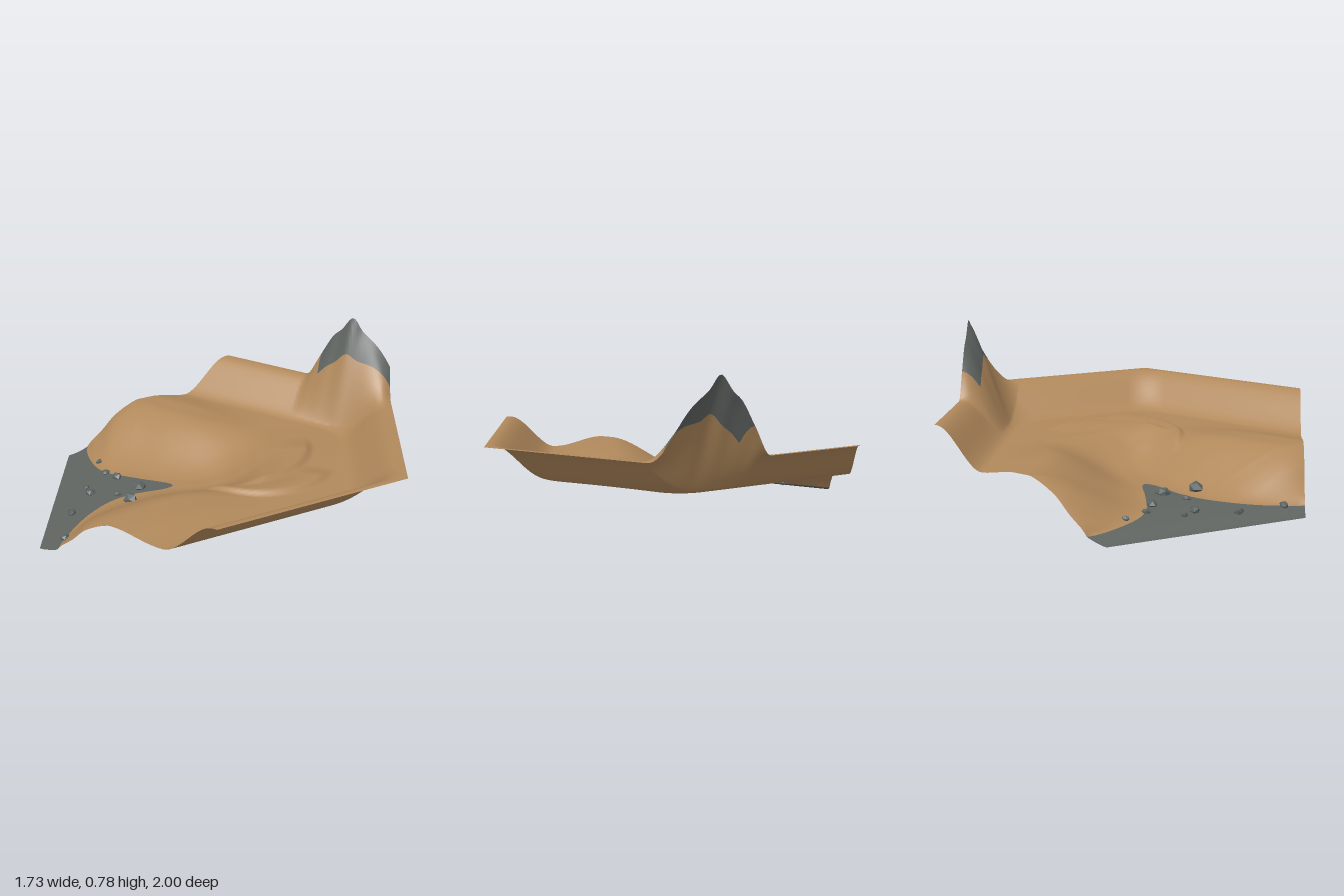
import * as THREE from 'three';

const material = (name, color, side = THREE.FrontSide) => {
  const m = new THREE.MeshStandardMaterial({ color, side });
  m.name = name;
  return m;
};

const smooth = THREE.MathUtils.smoothstep;
const lerp = THREE.MathUtils.lerp;

// Smooth curve through [position, value] pairs, constant beyond its ends
function curve(pts) {
  const n = pts.length;
  const slope = pts.map((p, i) => {
    if (i === 0 || i === n - 1) return 0;
    return (pts[i + 1][1] - pts[i - 1][1]) / (pts[i + 1][0] - pts[i - 1][0]);
  });
  return (x) => {
    if (x <= pts[0][0]) return pts[0][1];
    if (x >= pts[n - 1][0]) return pts[n - 1][1];
    let i = 0;
    while (x > pts[i + 1][0]) i++;
    const w = pts[i + 1][0] - pts[i][0];
    const t = (x - pts[i][0]) / w;
    const t2 = t * t, t3 = t2 * t;
    return (2 * t3 - 3 * t2 + 1) * pts[i][1] + (t3 - 2 * t2 + t) * w * slope[i]
      + (3 * t2 - 2 * t3) * pts[i + 1][1] + (t3 - t2) * w * slope[i + 1];
  };
}

const APOTHEM = Math.sqrt(3) / 2;

// Height of the banks, of the valley floor, and of the peak along its edge
const upland = curve([[-0.866, 0], [-0.8, 0.025], [-0.7, 0.1], [-0.62, 0.185], [-0.5, 0.25], [-0.4, 0.252]]);
const floor = curve([[-0.866, 0], [-0.75, 0.03], [-0.6, 0.052], [-0.4, 0.063], [-0.2, 0.07],
  [-0.1, 0.08], [0, 0.11], [0.1, 0.165], [0.22, 0.22]]);
const peak = curve([[0.44, 0], [0.51, 0.13], [0.57, 0.25], [0.615, 0.3], [0.67, 0.375],
  [0.72, 0.312], [0.8, 0.24], [0.866, 0.143], [0.93, 0]]);
// Half width of the valley at its floor and at the top of its banks
const floorWidth = curve([[-0.866, 0.56], [-0.77, 0.54], [-0.72, 0.36], [-0.62, 0.19], [-0.45, 0.09],
  [-0.27, 0.03], [0.2, 0.03]]);
const bankWidth = curve([[-0.866, 0.58], [-0.7, 0.6], [-0.6, 0.65], [-0.5, 0.68], [-0.3, 0.54],
  [-0.1, 0.44], [0.2, 0.42]]);

// Minimum with a rounded transition
function softMin(a, b, k) {
  const h = Math.max(k - Math.abs(a - b), 0) / k;
  return Math.min(a, b) - h * h * k / 4;
}

// Slumped ledge: rises outward to radius r, then drops off sharply
function ledge(x, z, cx, cz, r, from, to, height) {
  const d = Math.hypot(x - cx, z - cz);
  const a = THREE.MathUtils.radToDeg(Math.atan2(z - cz, x - cx));
  const along = smooth(a, from, from + 25) * (1 - smooth(a, to - 25, to));
  return height * along * smooth(d, r - 0.2, r) * (1 - smooth(d, r, r + 0.04));
}

function heightAt(x, z) {
  const back = APOTHEM - 0.5 * x + APOTHEM * z;
  const front = APOTHEM - 0.5 * x - APOTHEM * z;
  const right = 0.9 * (APOTHEM - x);
  // Banks swell near the low side and dip into a trough along the rim
  const swell = smooth(front, 0.27, 0.48) * smooth(back, 0.23, 0.43) * (1 - smooth(x, -0.25, 0.2));
  const bankTop = Math.min(upland(x), 0.217 + 0.033 * swell);
  // Valley running in from the low side
  const off = Math.abs(z + 0.04 * smooth(x, -0.7, -0.4));
  let y = lerp(floor(x), bankTop, smooth(off, floorWidth(x), bankWidth(x)));
  y += ledge(x, z, -0.05, -0.2, 0.47, -15, 80, 0.025);
  y += ledge(x, z, 0.18, -0.05, 0.37, 15, 145, 0.025);
  // Raised rim along three sides
  const d = softMin(right, softMin(front, back, 0.1), 0.1);
  y = lerp(y, 0.402, 1 - smooth(d, 0.015, 0.25));
  // Rocky peak on the back rim
  return y + peak(x + 0.5 * back) * Math.pow(Math.max(0, 1 - back / 0.21), 1.15);
}

// Positive where bare stone shows
const shore = curve([[-0.56, -0.77], [-0.35, -0.72], [-0.2, -0.62], [-0.12, -0.45], [-0.05, -0.27],
  [0, -0.3], [0.05, -0.45], [0.11, -0.55], [0.2, -0.63], [0.3, -0.69], [0.4, -0.73], [0.56, -0.77]]);
function stoneAt(x, z) {
  const side = x - 0.49 + 0.3 * (z + 0.62);
  const summit = Math.min(side, -0.615 + 0.47 * (x - 0.49) - z);
  return Math.max(shore(z) - x, summit);
}

// Keep the part of a polygon of [x, z, mask] points where sign * mask is positive
function clip(poly, sign) {
  const out = [];
  poly.forEach((p, i) => {
    const q = poly[(i + 1) % poly.length];
    if (p[2] * sign >= 0) out.push(p);
    if (p[2] * q[2] < 0) {
      const t = p[2] / (p[2] - q[2]);
      out.push([lerp(p[0], q[0], t), lerp(p[1], q[1], t), 0]);
    }
  });
  return out;
}

function terrain(sign) {
  const N = 130, pos = [], nor = [], e = 0.004;
  const point = (i, j) => {
    const x = APOTHEM * (2 * i / N - 1);
    const z = (1 - Math.abs(x) / Math.sqrt(3)) * (2 * j / N - 1);
    return [x, z, stoneAt(x, z)];
  };
  const put = ([x, z]) => {
    pos.push(x, heightAt(x, z), z);
    const n = new THREE.Vector3(heightAt(x - e, z) - heightAt(x + e, z), 2 * e,
      heightAt(x, z - e) - heightAt(x, z + e)).normalize();
    nor.push(n.x, n.y, n.z);
  };
  for (let i = 0; i < N; i++) for (let j = 0; j < N; j++) {
    const a = point(i, j), b = point(i, j + 1), c = point(i + 1, j + 1), d = point(i + 1, j);
    for (const tri of [[a, b, c], [a, c, d]]) {
      const poly = clip(tri, sign);
      for (let k = 2; k < poly.length; k++) [poly[0], poly[k - 1], poly[k]].forEach(put);
    }
  }
  const g = new THREE.BufferGeometry();
  g.setAttribute('position', new THREE.Float32BufferAttribute(pos, 3));
  g.setAttribute('normal', new THREE.Float32BufferAttribute(nor, 3));
  return g;
}

// Faceted boulder, each corner pushed in or out by a repeatable amount
function boulder(radius, seed) {
  const g = new THREE.IcosahedronGeometry(radius, 0);
  const p = g.attributes.position, v = new THREE.Vector3();
  for (let i = 0; i < p.count; i++) {
    v.fromBufferAttribute(p, i).divideScalar(radius);
    const k = 1 + 0.18 * Math.sin(Math.round(v.x * 50) * 1.7 + Math.round(v.y * 50) * 2.3
      + Math.round(v.z * 50) * 3.1 + seed * 5);
    v.multiplyScalar(radius * k);
    p.setXYZ(i, v.x, v.y * 0.85, v.z);
  }
  g.computeVertexNormals();
  return g;
}

export function createModel() {
  const model = new THREE.Group();
  model.name = 'hexTerrainTile';
  const earth = material('earth', 0xb0885b, THREE.DoubleSide);
  const stone = material('stone', 0x5f6461, THREE.DoubleSide);
  const rock = material('rock', 0x5a6262);

  const add = (name, geometry, mat, parent = model) => {
    const mesh = new THREE.Mesh(geometry, mat);
    mesh.name = name;
    parent.add(mesh);
    return mesh;
  };
  add('earthGround', terrain(-1), earth);
  add('stoneGround', terrain(1), stone);

  // Loose boulders: x, z, radius
  const boulders = new THREE.Group();
  boulders.name = 'boulders';
  model.add(boulders);
  [[-0.675, -0.325, 0.018], [-0.625, -0.2, 0.02], [-0.56, -0.135, 0.026], [-0.71, -0.05, 0.017],
    [-0.68, 0.02, 0.029], [-0.535, 0.05, 0.022], [-0.43, -0.02, 0.034], [-0.46, 0.145, 0.036],
    [-0.75, 0.21, 0.025], [-0.75, 0.455, 0.025]].forEach(([x, z, r], i) => {
    const b = add('boulder', boulder(r, i), rock, boulders);
    b.position.set(x, heightAt(x, z) + r * 0.15, z);
    b.rotation.y = i * 1.3;
  });
  return model;
}
